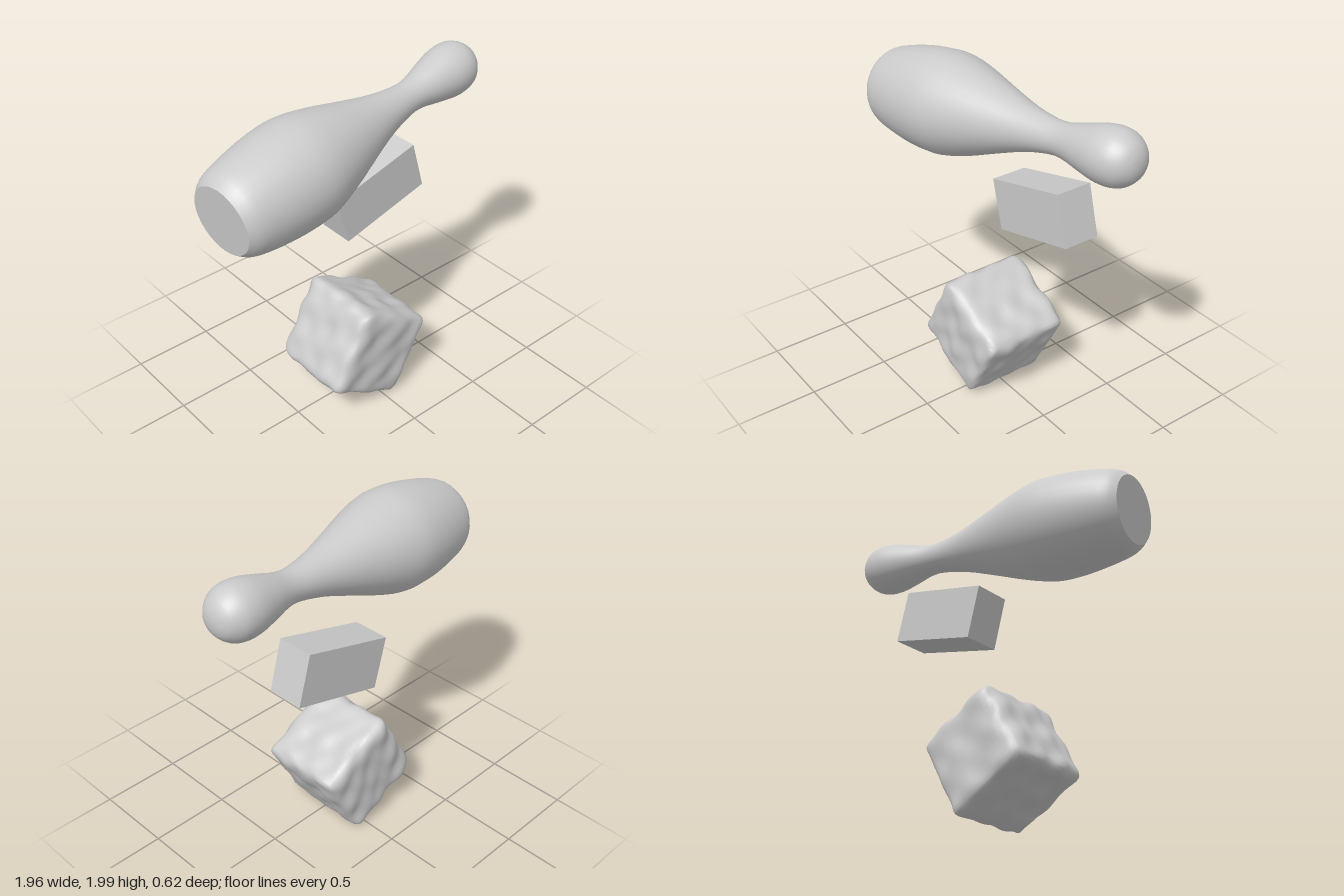
import * as THREE from 'three';
import { mergeVertices, toCreasedNormals } from 'three/addons/utils/BufferGeometryUtils.js';

const material = new THREE.MeshStandardMaterial({ color: 0xcccccc });

function addPart(group, name, geometry) {
  const mesh = new THREE.Mesh(geometry, material);
  mesh.name = name;
  group.add(mesh);
  return mesh;
}

// Pin turned from a profile of [radius, distance from the base]
function pinGeometry() {
  const side = new THREE.SplineCurve([
    [0.2, 0], [0.238, 0.05], [0.262, 0.13], [0.287, 0.27], [0.302, 0.42], [0.3, 0.57],
    [0.258, 0.75], [0.192, 0.96], [0.13, 1.17], [0.096, 1.36], [0.099, 1.47],
    [0.127, 1.59], [0.153, 1.71], [0.158, 1.79], [0.144, 1.86], [0.1, 1.92], [0.05, 1.945],
  ].map(([r, d]) => new THREE.Vector2(r, d))).getPoints(48);
  const profile = [new THREE.Vector2(0, 0), ...side, new THREE.Vector2(0, 1.952)];
  return toCreasedNormals(new THREE.LatheGeometry(profile, 32), 0.7);
}

// Cube with rounded edges and a gently dented surface
function dentedCubeGeometry(half, radius, depth) {
  let geometry = new THREE.BoxGeometry(2 * half, 2 * half, 2 * half, 18, 18, 18);
  geometry.deleteAttribute('normal');
  geometry.deleteAttribute('uv');
  geometry = mergeVertices(geometry);
  const pos = geometry.attributes.position;
  const inner = half - radius;
  const p = new THREE.Vector3();
  const core = new THREE.Vector3();
  for (let i = 0; i < pos.count; i++) {
    p.fromBufferAttribute(pos, i);
    core.copy(p).clampScalar(-inner, inner);
    const out = p.clone().sub(core).normalize();
    const wave = Math.sin(33 * p.x + 4 * p.y + 1) * Math.sin(29 * p.y - 7 * p.z + 0.5)
      + Math.sin(31 * p.z + 6 * p.x + 2) * Math.sin(27 * p.y + 9 * p.x)
      + Math.sin(25 * p.x - 8 * p.z) * Math.sin(34 * p.z + 1.3);
    p.copy(core).addScaledVector(out, radius + depth * (wave / 2 - 0.2));
    pos.setXYZ(i, p.x, p.y, p.z);
  }
  geometry.computeVertexNormals();
  return geometry;
}

export function createModel() {
  const model = new THREE.Group();
  model.name = 'pinBlockAndCube';

  // Pin lying across the top, its head swung up and back
  const pin = addPart(model, 'pin', pinGeometry());
  pin.position.set(-0.955, 1.637, 0.05);
  pin.quaternion.setFromUnitVectors(
    new THREE.Vector3(0, 1, 0),
    new THREE.Vector3(1.775, 0.195, -0.2).normalize(),
  );

  // Plain brick below the pin
  const brick = addPart(model, 'brick', new THREE.BoxGeometry(0.6, 0.31, 0.225));
  brick.position.set(0.22, 1.25, -0.188);
  brick.rotation.z = 0.268;

  // Dented cube at the bottom
  const cube = addPart(model, 'dentedCube', dentedCubeGeometry(0.275, 0.06, 0.011));
  cube.position.set(-0.04, 0.36, -0.025);
  cube.rotation.z = -0.5;

  return model;
}
